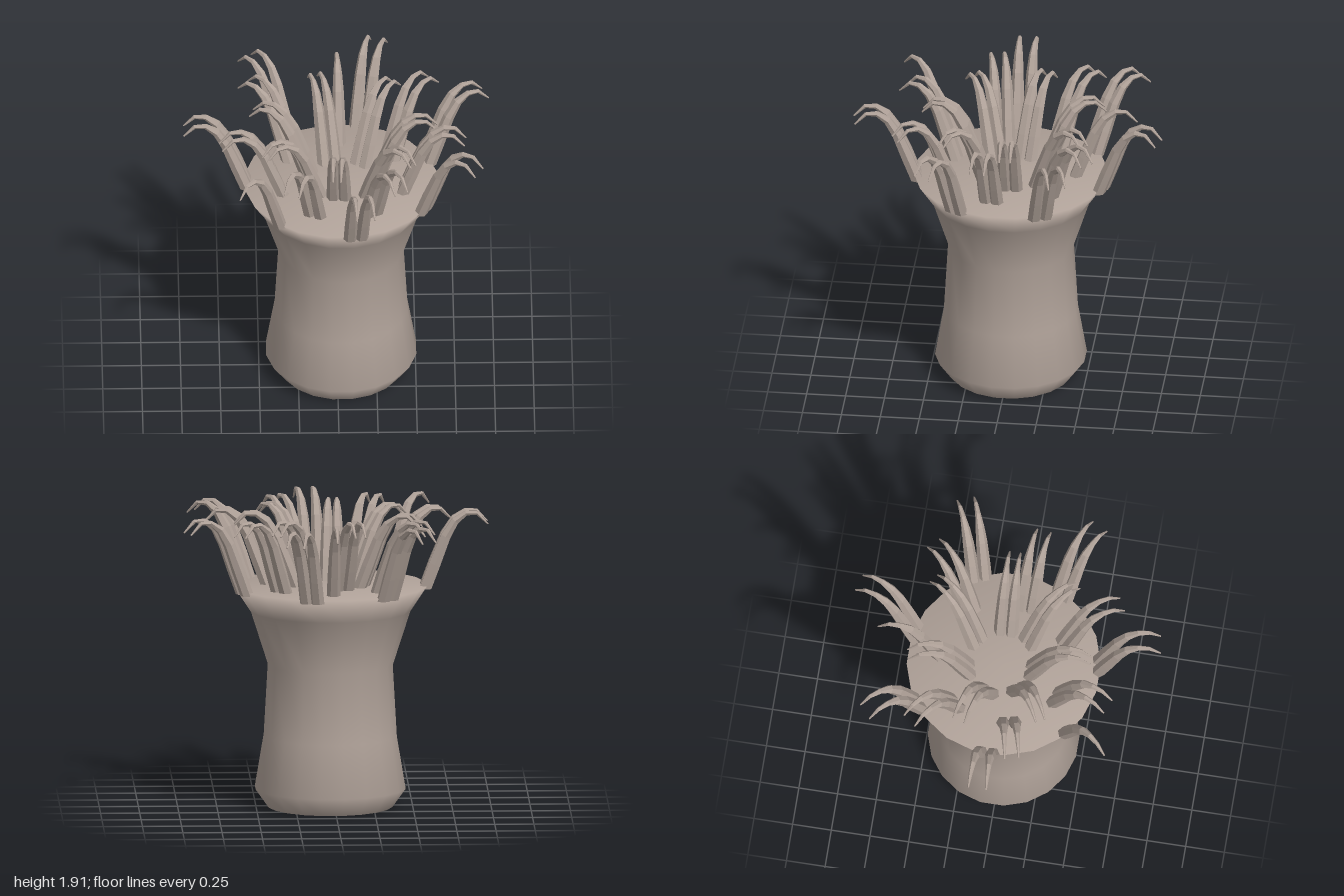
import * as THREE from 'three';

const skin = new THREE.MeshStandardMaterial({ color: 0xb0a299, side: THREE.DoubleSide });
skin.name = 'skin';
const tentacleSkin = new THREE.MeshStandardMaterial({ color: 0xb0a299, flatShading: true });
tentacleSkin.name = 'tentacle skin';

// Centre line of a tentacle leaning to +x: [outward, height, radius]
const ARC = [
  [0, 1.41, 0.044], [0.06, 1.57, 0.042], [0.13, 1.75, 0.036], [0.19, 1.85, 0.028],
  [0.26, 1.9, 0.018], [0.33, 1.9, 0.013], [0.4, 1.83, 0.005],
];
const REACH = 0.4;

// Clusters: base x, base z, tip x, tip z, gap between the two tips (0 = single)
const CLUSTERS = [
  [-0.54, -0.02, -0.98, -0.02, 0.115],
  [-0.32, -0.5, -0.58, -0.81, 0.11],
  [-0.26, -0.25, -0.595, -0.52, 0.1],
  [-0.14, -0.07, -0.545, -0.21, 0.08],
  [-0.345, 0.08, -0.745, 0.165, 0.09],
  [-0.115, 0.095, -0.465, 0.305, 0.06],
  [-0.365, 0.435, -0.63, 0.745, 0],
  [-0.14, 0.335, -0.3, 0.715, 0.1],
  [0.01, 0.155, -0.01, 0.56, 0.05],
  [0.11, 0.57, 0.17, 0.98, 0.115],
  [0.205, 0.33, 0.4, 0.695, 0.09],
  [0.185, 0.105, 0.48, 0.395, 0.045],
  [0.54, 0.28, 0.9, 0.47, 0.11],
  [0.4, 0.07, 0.815, 0.125, 0.09],
  [0.19, -0.03, 0.64, -0.035, 0.07],
  [0.55, -0.245, 0.95, -0.405, 0.11],
  [0.33, -0.265, 0.62, -0.56, 0.095],
  [0.125, -0.165, 0.385, -0.52, 0.065],
  [0.155, -0.585, 0.28, -0.985, 0.11],
  [0.02, -0.38, 0.005, -0.82, 0],
  [-0.035, -0.18, -0.15, -0.6, 0.065],
];

// Bend a cylinder along the arc, tapering toward the tip
function tentacleGeometry() {
  const rows = ARC.length - 1;
  const geo = new THREE.CylinderGeometry(1, 1, 1, 6, rows);
  const pos = geo.attributes.position;
  for (let i = 0; i < pos.count; i++) {
    const k = Math.round((pos.getY(i) + 0.5) * rows);
    const [px, py, r] = ARC[k];
    const a = ARC[Math.max(k - 1, 0)];
    const b = ARC[Math.min(k + 1, rows)];
    const t = k === 0 ? new THREE.Vector2(0, 1) : new THREE.Vector2(b[0] - a[0], b[1] - a[1]).normalize();
    const side = pos.getX(i) * r;
    pos.setXYZ(i, px + t.y * side, py - t.x * side, pos.getZ(i) * r);
  }
  geo.computeVertexNormals();
  return geo;
}

export function createModel() {
  const model = new THREE.Group();
  model.name = 'anemone';

  // Hollow stalk, open below, flaring to a smooth closed disc on top
  const profile = [
    [0.4, 0], [0.485, 0.12], [0.428, 0.46], [0.402, 0.92], [0.515, 1.27], [0.62, 1.43], [0, 1.43],
  ].map(([r, y]) => new THREE.Vector2(r, y));
  const body = new THREE.Mesh(new THREE.LatheGeometry(profile, 20, Math.PI / 20), skin);
  body.name = 'body';
  body.position.set(0.025, 0, -0.01);
  model.add(body);

  // Tentacles, mostly in pairs that spread apart toward the tips
  const geo = tentacleGeometry();
  const tentacles = new THREE.Group();
  tentacles.name = 'tentacles';
  for (const [bx, bz, tx, tz, gap] of CLUSTERS) {
    const len = Math.hypot(tx - bx, tz - bz);
    const nx = -(tz - bz) / len, nz = (tx - bx) / len;
    for (const s of gap ? [-1, 1] : [0]) {
      const tipX = tx + nx * s * gap / 2, tipZ = tz + nz * s * gap / 2;
      const dx = tipX - bx - nx * s * 0.036, dz = tipZ - bz - nz * s * 0.036;
      const d = Math.hypot(dx, dz);
      const tentacle = new THREE.Mesh(geo, tentacleSkin);
      tentacle.name = 'tentacle';
      tentacle.position.set(tipX - dx / d * REACH, 0, tipZ - dz / d * REACH);
      tentacle.rotation.y = -Math.atan2(dz, dx);
      tentacles.add(tentacle);
    }
  }
  model.add(tentacles);
  return model;
}
